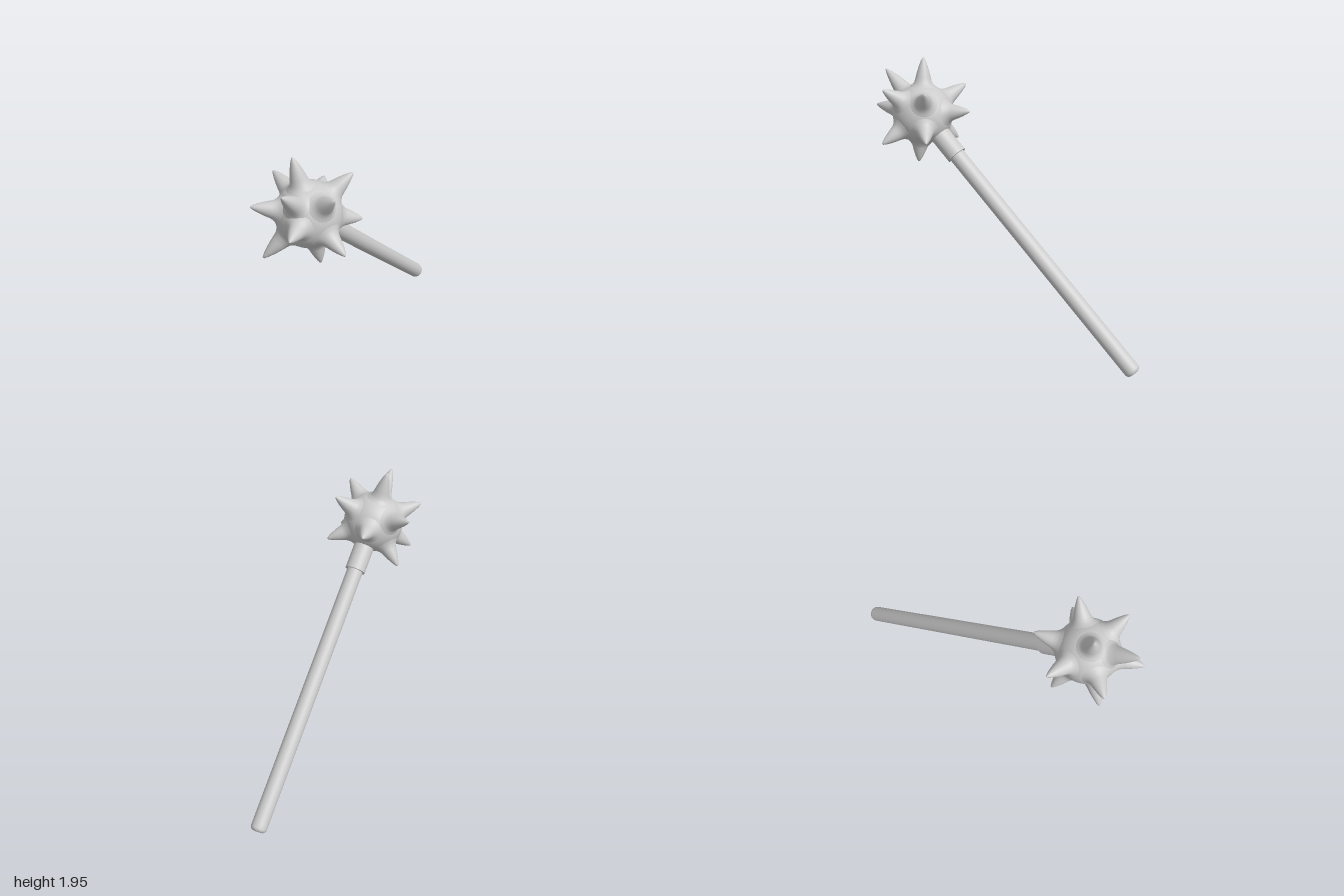
import * as THREE from 'three';

const UP = new THREE.Vector3(0, 1, 0);
const HEAD = new THREE.Vector3(-0.262, 1.555, 0.635);
const POMMEL = new THREE.Vector3(0.55, 0.05, -0.95);
const HEAD_RADIUS = 0.215;

// Spike tips, as offsets from the centre of the head
const SPIKE_TIPS = [
  [-0.09, 0.39, 0], [-0.14, 0.275, 0.29], [-0.35, 0.1, 0.09], [-0.235, 0.155, -0.275],
  [-0.29, -0.265, 0.1], [0.07, -0.345, 0.03], [0.23, -0.155, 0.25], [0.335, -0.09, -0.09],
  [0.275, 0.245, -0.08], [0.165, 0.225, 0.24], [-0.1, 0.015, 0.362], [0.09, 0.07, -0.355],
  [-0.175, -0.245, -0.22],
];

const material = new THREE.MeshStandardMaterial({ color: 0xcccccc });

function part(name, geometry) {
  const mesh = new THREE.Mesh(geometry, material);
  mesh.name = name;
  return mesh;
}

function lathe(profile, segments) {
  return new THREE.LatheGeometry(profile.map(([r, y]) => new THREE.Vector2(r, y)), segments);
}

// Spike with a flared foot that melts into the ball and a tiny rounded tip
function spikeGeometry(reach) {
  const base = 0.187;
  const h = reach - base;
  const profile = [
    [0.102, base], [0.079, 0.205], [0.063, 0.225], [0.054, base + h * 0.33],
    [0.045, base + h * 0.5], [0.032, base + h * 0.7], [0.018, base + h * 0.88],
    [0.007, base + h * 0.98], [0, reach],
  ];
  return lathe(profile, 24);
}

export function createModel() {
  const model = new THREE.Group();
  model.name = 'spikedMace';

  // Head: ball with spikes pointing outward
  const head = new THREE.Group();
  head.name = 'head';
  head.position.copy(HEAD);
  head.add(part('ball', new THREE.SphereGeometry(HEAD_RADIUS, 48, 32)));
  for (const tip of SPIKE_TIPS) {
    const direction = new THREE.Vector3(...tip);
    const spike = part('spike', spikeGeometry(direction.length()));
    spike.quaternion.setFromUnitVectors(UP, direction.normalize());
    head.add(spike);
  }
  model.add(head);

  // Handle: runs from the head's centre along its own y axis
  const axis = POMMEL.clone().sub(HEAD);
  const length = axis.length();
  const handle = new THREE.Group();
  handle.name = 'handle';
  handle.position.copy(HEAD);
  handle.quaternion.setFromUnitVectors(UP, axis.normalize());

  // Shaft with a rounded-over end
  const radius = 0.058, fillet = 0.03;
  const profile = [[radius, 0.18], [radius, length - 0.02]];
  for (let i = 0; i <= 6; i++) {
    const a = (i / 6) * Math.PI / 2;
    profile.push([radius - fillet + fillet * Math.cos(a), length + fillet * Math.sin(a)]);
  }
  profile.push([0, length + fillet]);
  handle.add(part('shaft', lathe(profile, 32)));

  // Collar joining shaft and head
  const collar = part('collar', new THREE.CylinderGeometry(0.073, 0.073, 0.21, 32));
  collar.position.y = 0.285;
  handle.add(collar);
  model.add(handle);

  return model;
}
